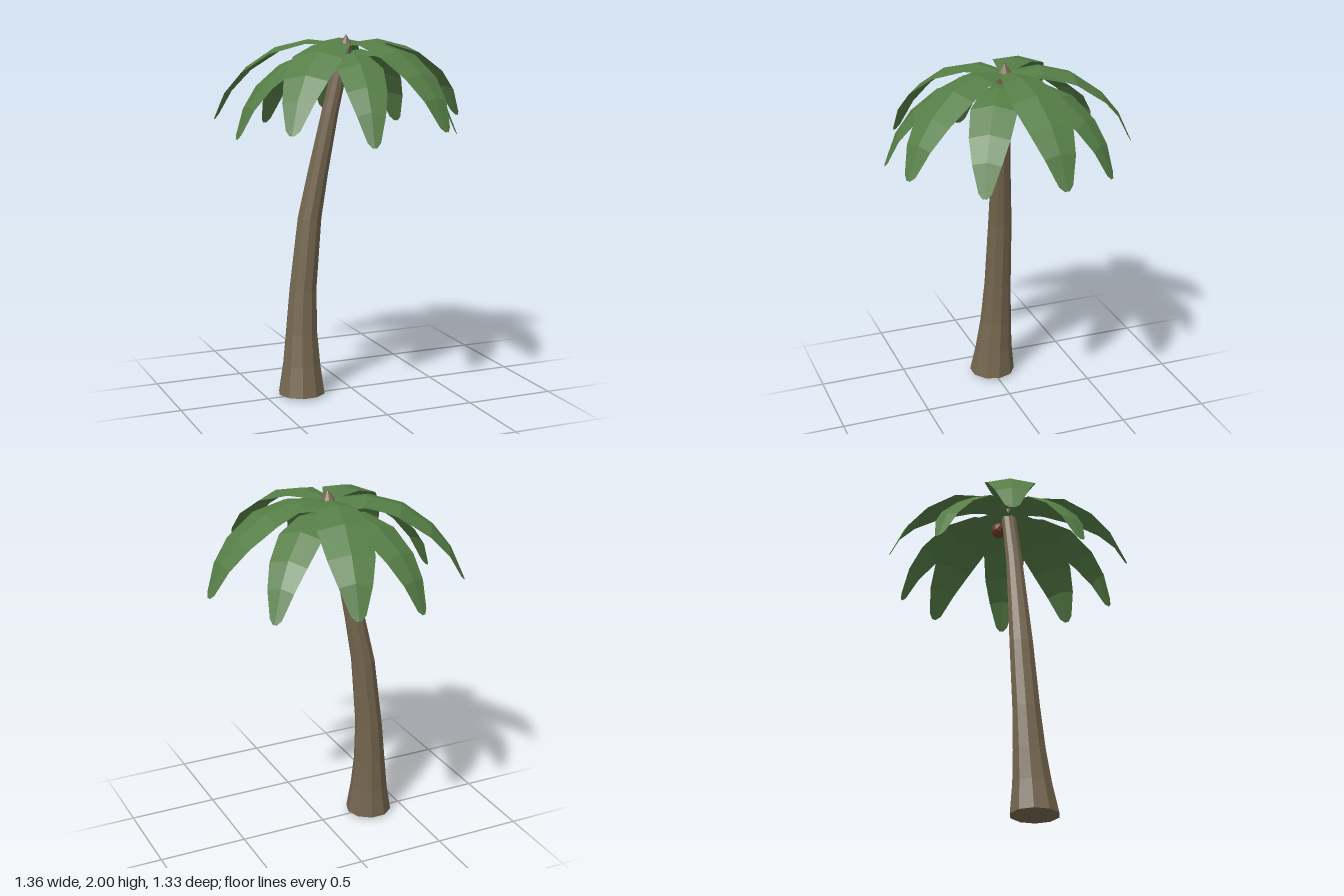
import * as THREE from 'three';

const mat = (color) => new THREE.MeshStandardMaterial({ color, flatShading: true });

// Joins rows of points (each row the same length) into one surface
function loft(rows, extra = []) {
  const n = rows[0].length, index = [];
  for (let i = 0; i < rows.length - 1; i++) {
    for (let j = 0; j < n - 1; j++) {
      const a = i * n + j, b = a + 1, c = a + n, d = c + 1;
      index.push(a, c, b, b, c, d);
    }
  }
  const geo = new THREE.BufferGeometry();
  geo.setAttribute('position', new THREE.Float32BufferAttribute([...rows.flat(2), ...extra], 3));
  geo.setIndex(index);
  return geo;
}

// Leaning trunk: rings of [x, y, z, radius] from the foot up
function trunkGeometry() {
  const sides = 10;
  const rings = [
    [-0.30, 0.015, 0, 0.132], [-0.295, 0.18, -0.01, 0.107], [-0.29, 0.36, -0.022, 0.09],
    [-0.277, 0.6, -0.03, 0.077], [-0.235, 1.0, -0.03, 0.067], [-0.19, 1.25, -0.018, 0.058],
    [-0.125, 1.58, 0, 0.048], [-0.07, 1.82, 0.01, 0.044], [-0.04, 1.945, 0.015, 0.042],
    [-0.035, 2.0, 0.015, 0.002],
  ];
  const rows = rings.map(([x, y, z, r]) => Array.from({ length: sides + 1 }, (_, j) => {
    const a = (j / sides) * Math.PI * 2;
    return [x + r * Math.cos(a), y, z - r * Math.sin(a)];
  }));
  // shallow cap below the foot
  rows.unshift(rows[0].map(() => [-0.30, 0, 0]));
  // rows climb, so reverse each ring to face outward
  return loft(rows.map((row) => row.slice().reverse()));
}

// Arched leaf along +x, folded along its midrib: [distance, height, half width]
const LEAF = [
  [0, 1.945, 0.015], [0.07, 1.962, 0.055], [0.2, 1.975, 0.105], [0.38, 1.93, 0.143],
  [0.54, 1.82, 0.125], [0.64, 1.70, 0.088], [0.705, 1.56, 0.04], [0.72, 1.53, 0.012],
];
function leafGeometry(lengthScale, widthScale) {
  return loft(LEAF.map(([r, y, w]) => [-1, 0, 1].map((s) => [
    r * lengthScale, y - Math.abs(s) * w * 0.2, s * w * widthScale,
  ])));
}

export function createModel() {
  const model = new THREE.Group();
  model.name = 'palmTree';

  const trunkMat = mat(0x75664f);
  const leafMat = mat(0x557d46);
  leafMat.side = THREE.DoubleSide;

  const trunk = new THREE.Mesh(trunkGeometry(), trunkMat);
  trunk.material.side = THREE.DoubleSide;
  trunk.name = 'trunk';
  model.add(trunk);

  // Two tiers of five leaves: tip [x, z] of each
  const tiers = [
    { name: 'upperLeaf', drop: 0, width: 1,
      tips: [[0.68, -0.05], [0.12, -0.67], [-0.665, -0.375], [-0.53, 0.49], [0.26, 0.65]] },
    { name: 'lowerLeaf', drop: 0.06, width: 0.86,
      tips: [[0.46, -0.40], [-0.29, -0.60], [-0.68, 0.06], [-0.15, 0.66], [0.49, 0.32]] },
  ];
  const cx = -0.04, cz = 0.015;
  for (const { name, drop, width, tips } of tiers) {
    tips.forEach(([x, z], i) => {
      const dx = x - cx, dz = z - cz;
      const leaf = new THREE.Mesh(leafGeometry(Math.hypot(dx, dz) / 0.72, width), leafMat);
      leaf.name = name + (i + 1);
      leaf.position.set(cx, -drop, cz);
      leaf.rotation.y = Math.atan2(-dz, dx);
      model.add(leaf);
    });
  }

  // Coconut tucked under the crown
  const coconut = new THREE.Mesh(new THREE.IcosahedronGeometry(0.045, 1), mat(0x6b3a22));
  coconut.name = 'coconut';
  coconut.position.set(0.02, 1.845, -0.01);
  model.add(coconut);

  return model;
}
